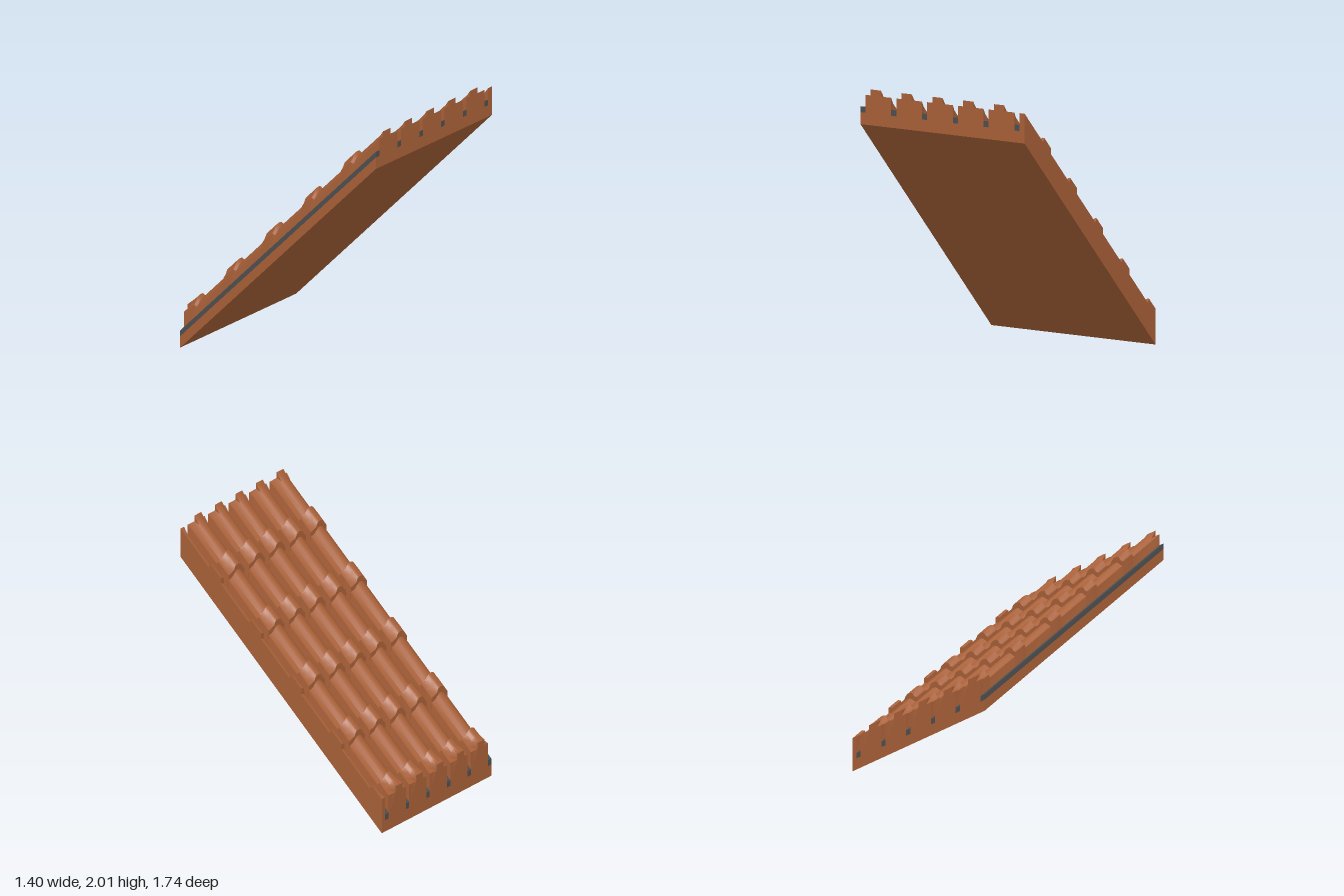
import * as THREE from 'three';
import { toCreasedNormals } from 'three/addons/utils/BufferGeometryUtils.js';

const U = 1.744 / 40;  // grid unit
const HALF_X = 16, HALF_Z = 20;

// Cross-sections of one tile: [x, height above the sloping underside] in grid units
const FULL = {
  step: [[0, 2], [0, 5], [1, 5], [1, 6], [1.8, 6], [2.4, 6], [3, 6], [3, 5], [5, 5], [5, 2]],
  round: [[0, 2], [0.3, 4.85], [0.8, 5.2], [1.3, 5.7], [1.8, 5.95], [2.4, 5.95], [3, 5.6], [3.6, 5.15], [4.7, 4.9], [5, 2]],
  lip: [[0, 2], [0.15, 5.6], [0.7, 6], [1.2, 6.75], [1.8, 6.95], [2.4, 6.95], [2.8, 6.75], [3.2, 6.1], [4.75, 5.75], [5, 2]],
  stepLip: [[0, 2], [0, 6], [1, 6], [1, 7], [1.8, 7], [2.4, 7], [3, 7], [3, 6], [5, 6], [5, 2]],
};
// Narrow tile cut off by the left edge
const NARROW = {
  step: [[0, 2], [0, 5], [0.6, 5], [1, 5], [1, 2]],
  round: [[0, 2], [0.3, 4.85], [0.7, 5], [1, 5], [1, 2]],
  lip: [[0, 2], [0.15, 5.7], [0.7, 6], [1, 6], [1, 2]],
  stepLip: [[0, 2], [0, 6], [0.6, 6], [1, 6], [1, 2]],
};

// Stations from the ridge end (+z) down to the eave (-z): a raised lip every 8 units
function stations() {
  const list = [[20, 'step'], [19, 'round']];
  for (let z = 14; z >= -18; z -= 8) {
    list.push([z + 0.4, 'round'], [z, 'lip']);
    if (z > -18) list.push([z - 1, 'lip'], [z - 2, 'lip'], [z - 2, 'round']);
    else list.push([z - 1, 'lip'], [z - 2, 'stepLip']);
  }
  return list;
}

// Follow the 45 degree roof pitch
const place = (x, h, z) => [x * U, (h + z + HALF_Z) * U, z * U];

function loftTile(x0, sections) {
  const rings = stations().map(([z, key]) => sections[key].map(([x, h]) => place(x0 + x, h, z)));
  const pos = [];
  const tri = (a, b, c) => pos.push(...a, ...b, ...c);
  for (let i = 0; i < rings.length - 1; i++) {
    for (let j = 0; j < rings[i].length - 1; j++) {
      const a = rings[i][j], b = rings[i][j + 1], c = rings[i + 1][j], d = rings[i + 1][j + 1];
      tri(a, b, c);
      tri(b, d, c);
    }
  }
  // End caps
  const cap = (ring, front) => {
    const pts = ring.map(p => new THREE.Vector2(p[0], p[1]));
    for (const [a, b, c] of THREE.ShapeUtils.triangulateShape(pts, [])) {
      const ccw = THREE.ShapeUtils.area([pts[a], pts[b], pts[c]]) > 0;
      if (ccw === front) tri(ring[a], ring[b], ring[c]);
      else tri(ring[a], ring[c], ring[b]);
    }
  };
  cap(rings[0], true);
  cap(rings[rings.length - 1], false);
  const geo = new THREE.BufferGeometry();
  geo.setAttribute('position', new THREE.Float32BufferAttribute(pos, 3));
  return toCreasedNormals(geo, 0.75);
}

// Box sheared along the roof pitch
function slopedBox(x0, x1, h0, h1) {
  const geo = new THREE.BoxGeometry((x1 - x0) * U, (h1 - h0) * U, 2 * HALF_Z * U);
  geo.translate((x0 + x1) / 2 * U, (h0 + h1) / 2 * U, 0);
  const p = geo.attributes.position;
  for (let i = 0; i < p.count; i++) p.setY(i, p.getY(i) + p.getZ(i) + HALF_Z * U);
  geo.computeVertexNormals();
  return geo;
}

export function createModel() {
  const clay = new THREE.MeshStandardMaterial({ color: 0xa86038 });
  clay.name = 'clay';
  const slate = new THREE.MeshStandardMaterial({ color: 0x4c4f50 });
  slate.name = 'slate';

  const roof = new THREE.Group();
  roof.name = 'tiledRoof';
  const add = (name, geo, mat) => {
    const mesh = new THREE.Mesh(geo, mat);
    mesh.name = name;
    roof.add(mesh);
  };

  add('roofBase', slopedBox(-HALF_X, HALF_X, 0, 2), clay);
  for (let k = 0; k < 6; k++) {
    const x = -HALF_X + 6 * k;
    add('gutter' + (k + 1), slopedBox(x, x + 1, 2, 3), slate);
    add('tileColumn' + (k + 1), loftTile(x + 1, k < 5 ? FULL : NARROW), clay);
  }
  return roof;
}
